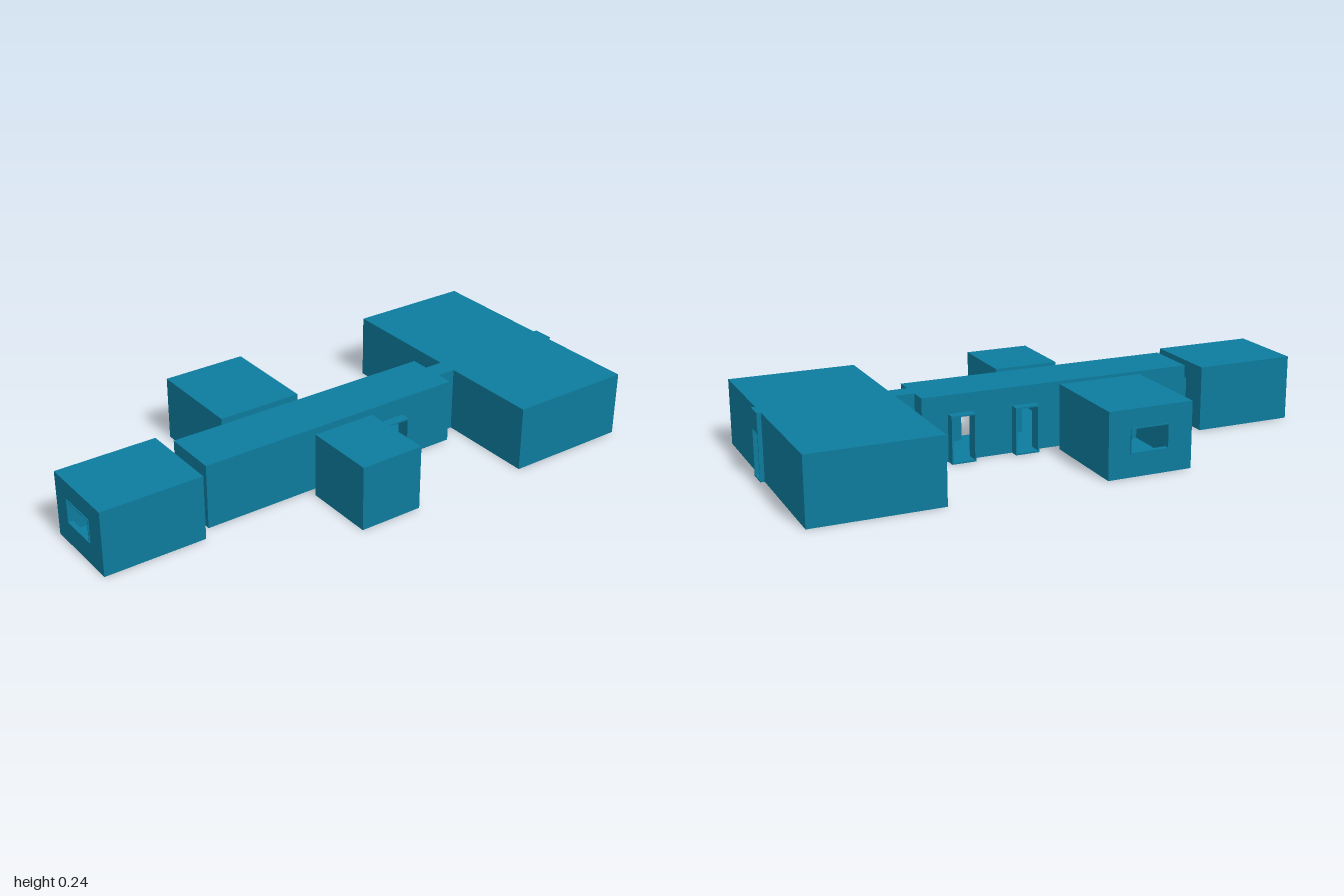
import * as THREE from 'three';

const H = 0.24, FLOOR = 0.006, WALL = 0.015, DOOR = 0.168;
const SILL = 0.087, HEAD = 0.17;
const teal = new THREE.MeshStandardMaterial({ color: 0x0d7b9d });
const wood = new THREE.MeshStandardMaterial({ color: 0x8a5a3c });
const grey = new THREE.MeshStandardMaterial({ color: 0xcccccc });

const rect = (T, u0, u1, y0, y1) => {
  const s = new T();
  s.moveTo(u0, y0);
  s.lineTo(u1, y0);
  s.lineTo(u1, y1);
  s.lineTo(u0, y1);
  s.closePath();
  return s;
};

function box(name, x0, x1, y0, y1, z0, z1, material = teal) {
  const mesh = new THREE.Mesh(new THREE.BoxGeometry(x1 - x0, y1 - y0, z1 - z0), material);
  mesh.position.set((x0 + x1) / 2, (y0 + y1) / 2, (z0 + z1) / 2);
  mesh.name = name;
  return mesh;
}

// Upright slab with rectangular holes; axis is the direction of its thickness, from a to b.
function panel(name, axis, a, b, u0, u1, y0, y1, holes = []) {
  const shape = rect(THREE.Shape, u0, u1, y0, y1);
  for (const h of holes) shape.holes.push(rect(THREE.Path, ...h));
  const geo = new THREE.ExtrudeGeometry(shape, { depth: b - a, bevelEnabled: false });
  if (axis === 'x') geo.rotateY(-Math.PI / 2).translate(b, 0, 0);
  else geo.translate(0, 0, a);
  const mesh = new THREE.Mesh(geo, teal);
  mesh.name = name;
  return mesh;
}

// Doorway and window holes as [u0, u1, y0, y1]
const inset = 0.005;
const door = (u0, u1) => [u0 + inset, u1 - inset, FLOOR, DOOR];
const pane = (u0, u1) => [u0 + 0.003, u1 - 0.003, SILL, HEAD];

// Hollow room with a floor, a roof and four pierced walls
function room(name, x0, x1, z0, z1, holes) {
  const g = new THREE.Group();
  g.name = name;
  const top = H - WALL;
  g.add(
    box('floor', x0, x1, 0, FLOOR, z0, z1),
    box('roof', x0, x1, top, H, z0, z1),
    panel('backWall', 'z', z0, z0 + WALL, x0, x1, FLOOR, top, holes.back),
    panel('frontWall', 'z', z1 - WALL, z1, x0, x1, FLOOR, top, holes.front),
    panel('rightWall', 'x', x0, x0 + WALL, z0 + WALL, z1 - WALL, FLOOR, top, holes.right),
    panel('leftWall', 'x', x1 - WALL, x1, z0 + WALL, z1 - WALL, FLOOR, top, holes.left)
  );
  return g;
}

export function createModel() {
  const model = new THREE.Group();
  model.name = 'building';

  // Spans of the openings along their walls
  const backDoors = [[-0.215, -0.125], [0.025, 0.115], [0.265, 0.355]];
  const frontDoors = [[-0.095, -0.005], [0.145, 0.235]];
  const rightDoor = [-0.001, 0.091], leftDoor = [0.013, 0.087];
  const backWindow = [-0.28, -0.135], rightWindow = [-0.03, 0.12];

  // Rooms around the central hall
  model.add(
    room('hall', -0.58, 0.45, -0.055, 0.15, {
      back: backDoors.map(d => door(...d)),
      front: frontDoors.map(d => door(...d)),
      right: [door(...rightDoor)],
      left: [door(...leftDoor)]
    }),
    room('rightRoom', -0.996, -0.62, -0.108, 0.2, {
      right: [pane(...rightWindow)], left: [door(...rightDoor)]
    }),
    room('leftRoom', 0.52, 0.985, -0.463, 0.463, {
      right: [door(...leftDoor)], left: [door(...leftDoor)]
    }),
    room('backRoom', -0.37, -0.053, -0.463, -0.09, {
      back: [pane(...backWindow)], front: [door(...backDoors[0])]
    }),
    room('frontRoom', -0.17, 0.07, 0.187, 0.458, { back: [door(...frontDoors[0])] })
  );

  // Door frames and passages
  for (const d of backDoors)
    model.add(panel('backDoorFrame', 'z', -0.09, -0.055, ...d, 0, 0.173, [door(...d)]));
  for (const d of frontDoors)
    model.add(panel('frontDoorFrame', 'z', 0.15, 0.186, ...d, 0, 0.173, [door(...d)]));
  model.add(
    panel('rightPassage', 'x', -0.62, -0.58, ...rightDoor, 0, 0.173, [door(...rightDoor)]),
    panel('leftPassage', 'x', 0.45, 0.52, ...leftDoor, 0, H, [door(...leftDoor)]),
    panel('leftEntrance', 'x', 0.985, 1, ...leftDoor, 0, H, [door(...leftDoor)])
  );

  // Window frames
  model.add(
    panel('backWindowFrame', 'z', -0.467, -0.463, ...backWindow, SILL - 0.003, HEAD + 0.003, [pane(...backWindow)]),
    panel('rightWindowFrame', 'x', -1, -0.996, ...rightWindow, SILL - 0.003, HEAD + 0.003, [pane(...rightWindow)])
  );

  // Bed inside the right room
  const bed = new THREE.Group();
  bed.name = 'bed';
  bed.add(
    box('bedFrame', -0.96, -0.76, FLOOR, 0.07, 0.11, 0.183, wood),
    box('mattress', -0.95, -0.77, 0.07, 0.083, 0.125, 0.183, grey)
  );
  model.add(bed);
  return model;
}
